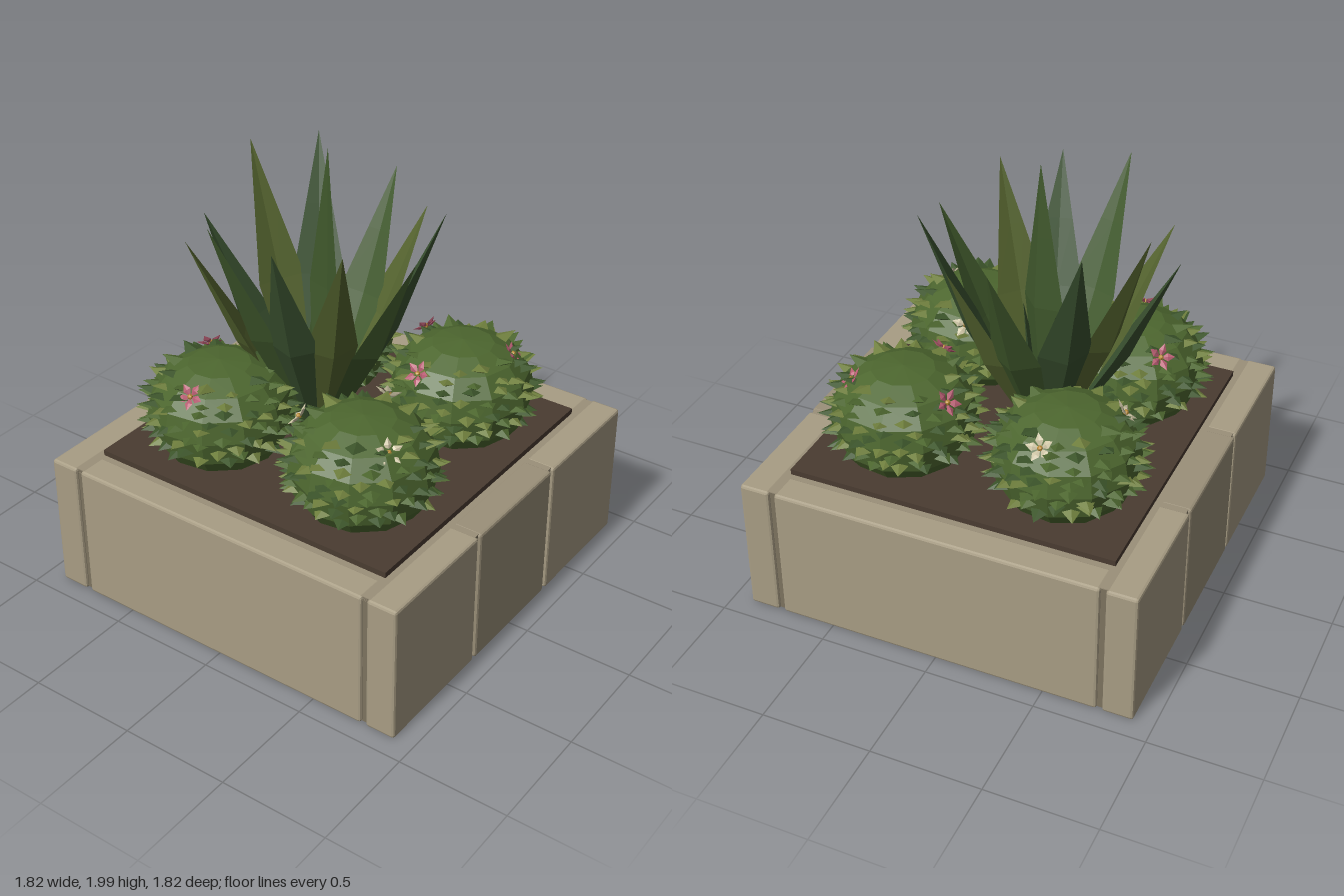
import * as THREE from 'three';
import { mergeGeometries } from 'three/addons/utils/BufferGeometryUtils.js';
import { RoundedBoxGeometry } from 'three/addons/geometries/RoundedBoxGeometry.js';

const mat = (color) => new THREE.MeshStandardMaterial({ color, flatShading: true });
const stone = mat(0xa89d84), stoneDark = mat(0x9b9079), groove = mat(0x7d735f), soilMat = mat(0x4a3c31);
const greens = [0x4d672f, 0x6f7f3d, 0x3d562b].map(mat);
const leafGreens = [0x40592c, 0x55642f, 0x3a5230].map(mat);
const pink = mat(0xb85d72), cream = mat(0xcfc6a6), amber = mat(0xb98a35);
const UP = new THREE.Vector3(0, 1, 0);

let seed = 7;
const rand = () => (seed = (seed * 16807) % 2147483647) / 2147483647;

function add(parent, name, geometry, material, x = 0, y = 0, z = 0) {
  const mesh = new THREE.Mesh(geometry, material);
  mesh.name = name;
  mesh.position.set(x, y, z);
  parent.add(mesh);
  return mesh;
}

// Bevelled slabs around a core, with narrow grooves between them
function planter() {
  const g = new THREE.Group();
  g.name = 'planter';
  add(g, 'core', new THREE.BoxGeometry(1.79, 0.64, 1.79), groove, 0, 0.325, 0);
  add(g, 'rim', new THREE.BoxGeometry(1.79, 0.02, 1.79), stoneDark, 0, 0.639, 0);
  for (const s of [-1, 1]) {
    for (const i of [-1, 0, 1]) {
      const w = i ? 0.605 : 0.58;
      add(g, 'endSlab', new RoundedBoxGeometry(w, 0.65, 0.14, 1, 0.012),
        i ? stone : stoneDark, i * 0.6075, 0.325, s * 0.84);
    }
    add(g, 'sideSlab', new RoundedBoxGeometry(0.14, 0.65, 1.49, 1, 0.012), stone, s * 0.84, 0.325, 0);
  }
  add(g, 'soil', new THREE.BoxGeometry(1.5, 0.04, 1.5), soilMat, 0, 0.655, 0);
  return g;
}

// Squat faceted body covered in rings of pointed scales
const profile = [[0, 0.66], [0.25, 0.67], [0.3, 0.74], [0.325, 0.85], [0.305, 0.95],
  [0.24, 1.03], [0.14, 1.075], [0, 1.09]].map(([r, y]) => new THREE.Vector2(r, y));

function bodyRadius(y) {
  const i = profile.findIndex((p) => p.y > y);
  const a = profile[i - 1], b = profile[i];
  return a.x + (b.x - a.x) * (y - a.y) / (b.y - a.y);
}

function cactus(x, z) {
  const g = new THREE.Group();
  g.name = 'cactus';
  g.position.set(x, 0, z);
  add(g, 'cactusBody', new THREE.LatheGeometry(profile, 11), greens[0]);
  const batches = [[], [], []];
  const rows = 9;
  for (let row = 0; row < rows; row++) {
    const y = 0.765 + row * 0.0345;
    const r = bodyRadius(y);
    const count = Math.round(r * 52);
    const lift = -0.1 + 0.055 * row;
    for (let i = 0; i < count; i++) {
      const a = (i + (row % 2) * 0.5 + (rand() - 0.5) * 0.35) / count * Math.PI * 2;
      const len = 0.1 + rand() * 0.04;
      const dir = new THREE.Vector3(Math.sin(a), lift + (rand() - 0.5) * 0.2, Math.cos(a)).normalize();
      const side = new THREE.Vector3().crossVectors(dir, UP).normalize();
      const scale = new THREE.ConeGeometry(1, 1, 4);
      scale.scale(0.075, len, 0.03);
      scale.applyMatrix4(new THREE.Matrix4().makeBasis(side, dir, new THREE.Vector3().crossVectors(side, dir)));
      scale.translate(Math.sin(a) * (r - 0.01), y + (rand() - 0.5) * 0.02, Math.cos(a) * (r - 0.01));
      batches[Math.floor(rand() * 3)].push(scale);
    }
  }
  batches.forEach((b, i) => add(g, 'cactusScales', mergeGeometries(b), greens[i]));
  return g;
}

// Keeled blade from base to tip, widest near the middle
function blade(base, tip, width) {
  const dir = tip.clone().sub(base);
  const len = dir.length();
  dir.normalize();
  const inner = UP.clone().addScaledVector(dir, -dir.y).normalize();
  const side = new THREE.Vector3().crossVectors(dir, inner);
  const geo = new THREE.CylinderGeometry(1, 1, 1, 4, 4);
  const p = geo.attributes.position;
  for (let i = 0; i < p.count; i++) {
    const t = p.getY(i) + 0.5;
    const w = width * (t < 0.5 ? 0.4 + 1.2 * t : 2 * (1 - t)) + 0.0005;
    const pz = p.getZ(i);
    const depth = Math.abs(pz) < 0.01 ? 0 : pz > 0 ? -0.15 : -0.5;
    p.setXYZ(i, p.getX(i) * w, t * len, depth * w);
  }
  geo.applyMatrix4(new THREE.Matrix4().makeBasis(side, dir, inner).setPosition(base));
  geo.computeVertexNormals();
  return geo;
}

function agave() {
  const g = new THREE.Group();
  g.name = 'agave';
  // Blade tips: x, y, z
  const tips = [[0.05, 1.99, -0.11], [0.21, 1.84, -0.65], [0.46, 1.84, -0.46], [0.55, 1.73, -0.1],
    [0.45, 1.64, 0.13], [0.24, 1.75, 0.36], [-0.06, 1.65, 0.41], [-0.36, 1.76, 0.26],
    [-0.52, 1.77, 0.03], [-0.54, 1.81, -0.28], [-0.37, 1.6, -0.55], [-0.09, 1.59, -0.68],
    [0.1, 1.32, -0.2], [-0.1, 1.28, -0.25], [0.02, 1.3, -0.02]];
  tips.forEach(([x, y, z], i) => {
    const base = new THREE.Vector3(x * 0.1, 0.67, -0.13 + (z + 0.13) * 0.1);
    const blades = blade(base, new THREE.Vector3(x, y, z), i < 12 ? 0.115 : 0.06);
    add(g, 'agaveLeaf', blades, leafGreens[i % 3]);
  });
  return g;
}

// Five diamond petals around a small centre
function flower(x, z, material) {
  const g = new THREE.Group();
  g.name = 'flower';
  const cx = Math.sign(x) * 0.38, cz = Math.sign(z) * 0.38;
  const normal = new THREE.Vector3(x - cx, 0.2, z - cz).normalize();
  g.position.set(x, 1.015, z).addScaledVector(normal, 0.015);
  g.quaternion.setFromUnitVectors(UP, normal);
  for (let i = 0; i < 5; i++) {
    const petal = new THREE.OctahedronGeometry(1);
    petal.scale(0.018, 0.007, 0.032).translate(0, 0, 0.034).rotateX(-0.3).rotateY(i * Math.PI * 0.4);
    add(g, 'petal', petal, material);
  }
  add(g, 'flowerCentre', new THREE.IcosahedronGeometry(0.013, 0), amber, 0, 0.008, 0);
  return g;
}

export function createModel() {
  const model = new THREE.Group();
  model.name = 'succulentPlanter';
  model.add(planter(), agave());
  for (const x of [-0.38, 0.38]) for (const z of [-0.38, 0.38]) model.add(cactus(x, z));
  for (const [x, z] of [[-0.22, -0.56], [-0.6, -0.35], [0.47, 0.14], [0.12, 0.33], [0.48, 0.56]])
    model.add(flower(x, z, pink));
  for (const [x, z] of [[0.25, -0.57], [0.6, -0.36], [-0.46, 0.13], [-0.12, 0.32], [-0.47, 0.56]])
    model.add(flower(x, z, cream));
  return model;
}
